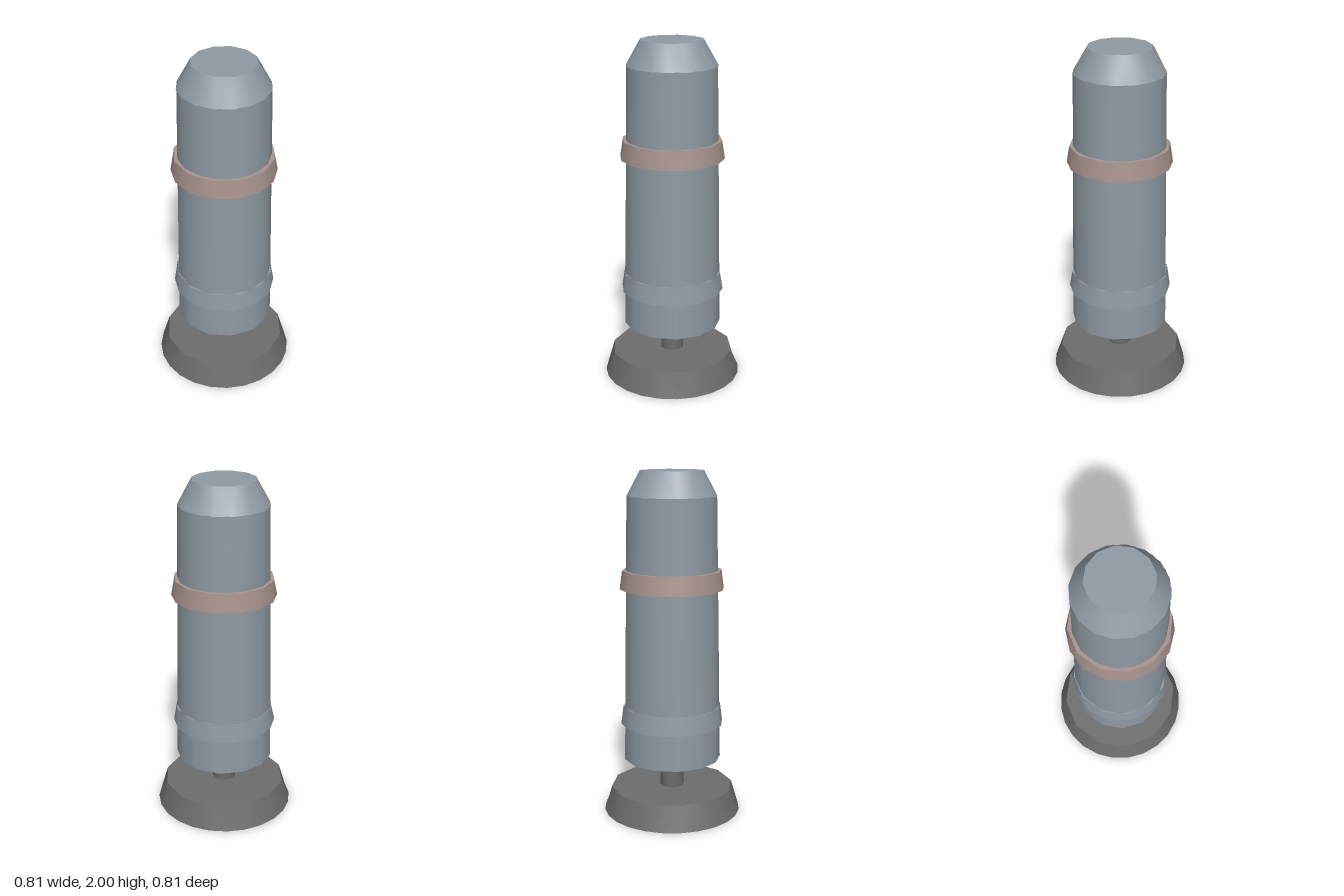
import * as THREE from 'three';

const flatColour = (name, hex) => {
  const m = new THREE.MeshStandardMaterial({ color: hex, side: THREE.DoubleSide });
  m.name = name;
  return m;
};

// Smooth tapered wall between two rings that may have different side counts.
// Each ring is { y, r, n }; phase is the angle of the first corner, from +z towards +x.
function wall(top, bottom, phase) {
  const positions = [], normals = [], index = [];
  const n = new THREE.Vector3();
  for (const ring of [top, bottom]) {
    for (let i = 0; i <= ring.n; i++) {
      const a = phase + (i / ring.n) * Math.PI * 2;
      positions.push(Math.sin(a) * ring.r, ring.y, Math.cos(a) * ring.r);
      n.set(Math.sin(a), (bottom.r - top.r) / (top.y - bottom.y), Math.cos(a)).normalize();
      normals.push(n.x, n.y, n.z);
    }
  }
  // Walk round both rings, always advancing the one that lags behind
  const first = top.n + 1;
  let i = 0, j = 0;
  while (i < top.n || j < bottom.n) {
    if (j < bottom.n && (i >= top.n || (j + 1) / bottom.n <= (i + 1) / top.n)) {
      index.push(first + j, first + j + 1, i);
      j++;
    } else {
      index.push(i, first + j, i + 1);
      i++;
    }
  }
  const g = new THREE.BufferGeometry();
  g.setAttribute('position', new THREE.Float32BufferAttribute(positions, 3));
  g.setAttribute('normal', new THREE.Float32BufferAttribute(normals, 3));
  g.setIndex(index);
  return g;
}

// Flat polygon closing a ring, facing up or down
function cap(ring, phase, up) {
  const g = new THREE.CircleGeometry(ring.r, ring.n);
  g.rotateX(up ? -Math.PI / 2 : Math.PI / 2);
  g.rotateY(phase - Math.PI / 2);
  g.translate(0, ring.y, 0);
  return g;
}

// A tapered part with optional caps, each cap given by its material
function taperedPart(name, material, top, bottom, { phase = 0, topCap, bottomCap } = {}) {
  const part = new THREE.Group();
  part.name = name;
  const add = (suffix, geometry, mat) => {
    const mesh = new THREE.Mesh(geometry, mat);
    mesh.name = name + suffix;
    part.add(mesh);
  };
  add('Wall', wall(top, bottom, phase), material);
  if (topCap) add('Top', cap(top, phase, true), topCap);
  if (bottomCap) add('Underside', cap(bottom, phase, false), bottomCap);
  return part;
}

export function createModel() {
  const steel = flatColour('blue grey steel', 0x8f9aa3);
  const dark = flatColour('dark grey', 0x6d6d6d);
  const copper = flatColour('dull copper', 0xa8938c);

  const model = new THREE.Group();
  model.name = 'cylinderOnStand';

  // Hollow flared foot and the short stem above it
  model.add(taperedPart('foot', dark,
    { y: 0.145, r: 0.361, n: 12 }, { y: 0, r: 0.404, n: 24 }, { topCap: dark }));
  model.add(taperedPart('stem', dark,
    { y: 0.33, r: 0.071, n: 10 }, { y: 0.14, r: 0.069, n: 10 }));

  // Slightly tapered main barrel
  model.add(taperedPart('barrel', steel,
    { y: 1.86, r: 0.256, n: 15 }, { y: 0.322, r: 0.286, n: 13 },
    { phase: -Math.PI / 2, bottomCap: dark }));

  // Chamfered nose
  model.add(taperedPart('nose', steel,
    { y: 2, r: 0.181, n: 12 }, { y: 1.858, r: 0.258, n: 16 },
    { topCap: steel, bottomCap: steel }));

  // Two matching flared collars
  for (const [name, y, mat] of [['lowerCollar', 0.535, steel], ['upperCollar', 1.333, copper]]) {
    model.add(taperedPart(name, mat,
      { y: y + 0.107, r: 0.287, n: 12 }, { y, r: 0.301, n: 14 },
      { topCap: mat, bottomCap: mat }));
  }
  return model;
}
